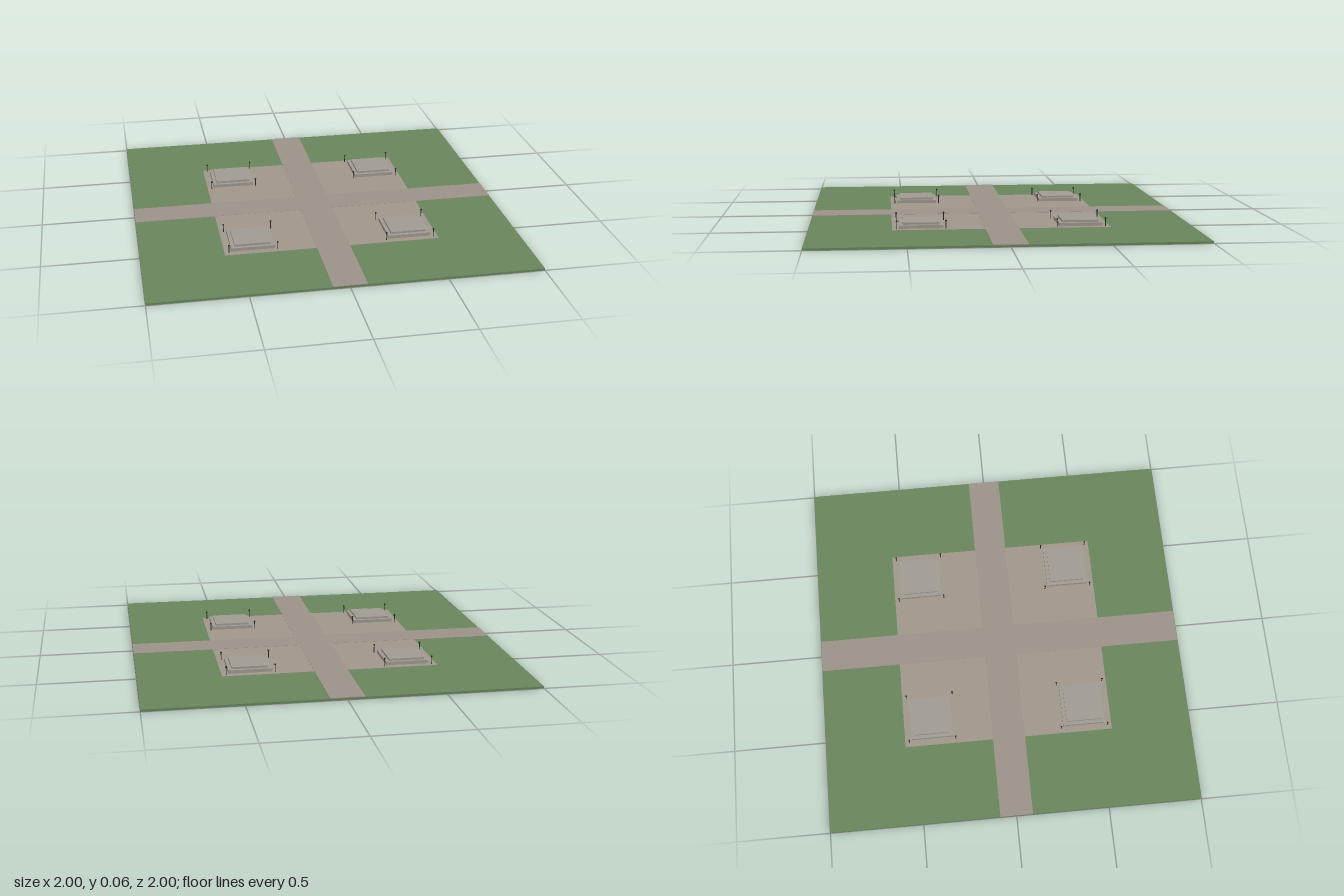
import * as THREE from 'three';

const material = (color) => new THREE.MeshStandardMaterial({ color });

export function createModel() {
  const root = new THREE.Group();
  const grass = material(0x69855c);
  const paving = material(0x9f978b);
  const pathStone = material(0x9b9189);
  const stone = material(0xa09b91);
  const iron = material(0x2b2b2b);

  // Box standing on height y0 and reaching y1
  function slab(parent, name, mat, w, d, y0, y1, x = 0, z = 0) {
    const mesh = new THREE.Mesh(new THREE.BoxGeometry(w, y1 - y0, d), mat);
    mesh.name = name;
    mesh.position.set(x, (y0 + y1) / 2, z);
    parent.add(mesh);
  }

  // Lawn, square plaza and crossing paths
  const plazaTop = 0.0125;
  const pathTop = 0.0135;
  slab(root, 'lawn', grass, 2, 2, 0, 0.0105);
  slab(root, 'plaza', paving, 1.136, 1.136, 0.009, plazaTop);
  slab(root, 'pathAcross', pathStone, 2, 0.176, 0.009, pathTop);
  for (const s of [-1, 1]) {
    slab(root, 'pathAlong', pathStone, 0.176, 0.912, 0.009, pathTop, 0, s * 0.544);
  }

  // Slim post with a small lamp knob
  const postGeometry = new THREE.CylinderGeometry(0.002, 0.002, 0.044, 8);
  const knobGeometry = new THREE.SphereGeometry(0.005, 10, 8);
  function lampPost(x, z) {
    const post = new THREE.Group();
    post.name = 'lampPost';
    const pole = new THREE.Mesh(postGeometry, iron);
    pole.name = 'pole';
    pole.position.y = plazaTop + 0.022;
    const knob = new THREE.Mesh(knobGeometry, iron);
    knob.name = 'knob';
    knob.position.y = plazaTop + 0.042;
    post.add(pole, knob);
    post.position.set(x, 0, z);
    return post;
  }

  // Stepped pedestal with a post at each corner, one per plaza quarter
  for (const sx of [-1, 1]) {
    for (const sz of [-1, 1]) {
      const pedestal = new THREE.Group();
      pedestal.name = 'pedestal';
      pedestal.position.set(sx * 0.417, 0, sz * 0.417);
      slab(pedestal, 'lowerStep', stone, 0.228, 0.228, plazaTop - 0.002, 0.03);
      slab(pedestal, 'upperStep', stone, 0.19, 0.19, 0.029, 0.041);
      for (const px of [-1, 1]) {
        for (const pz of [-1, 1]) pedestal.add(lampPost(px * 0.127, pz * 0.127));
      }
      root.add(pedestal);
    }
  }
  return root;
}
